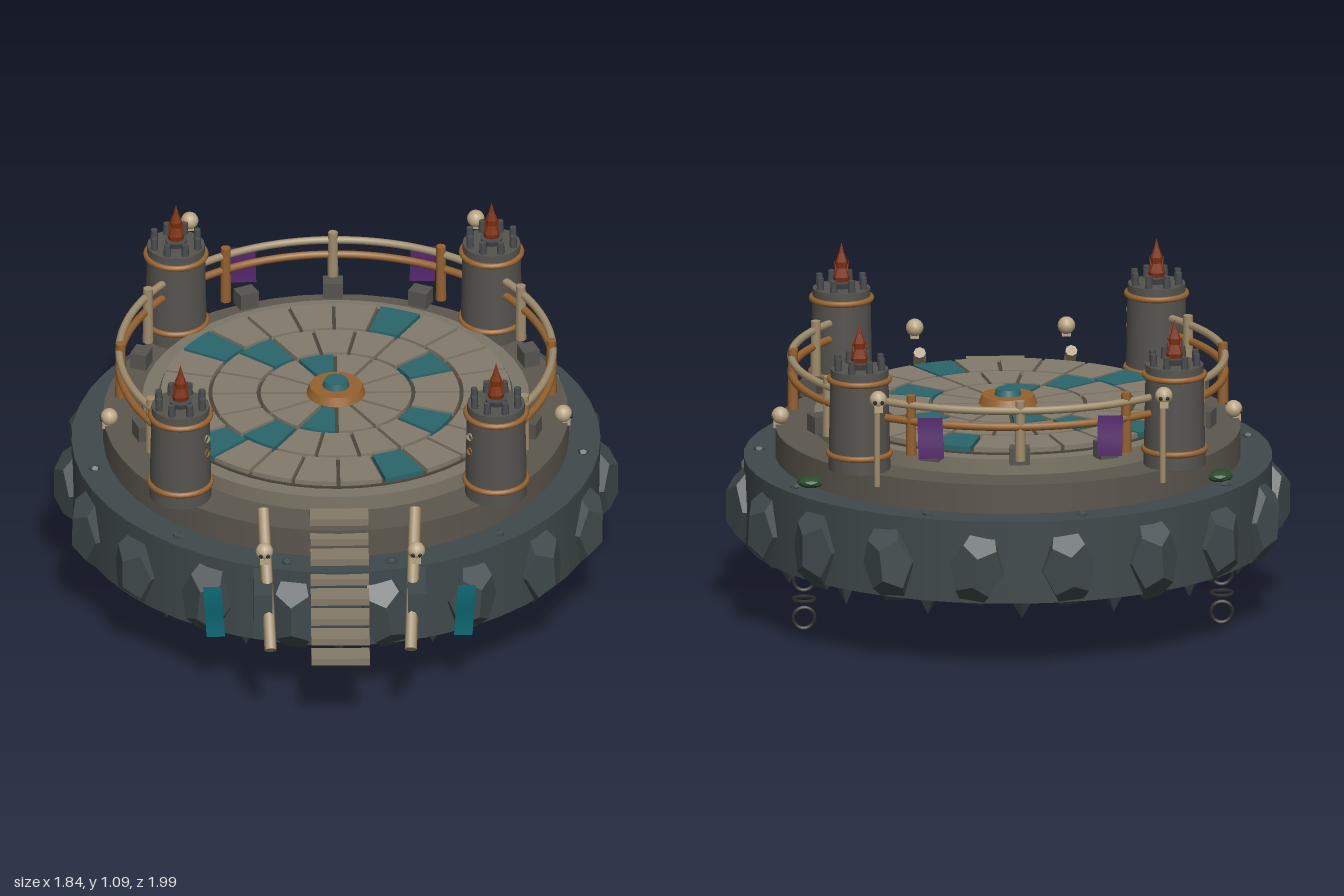
import * as THREE from 'three';

const CZ = -0.0875; // z of the arena's axis
const COLORS = {
  slate: 0x3f494c, stone: 0x5c574e, pale: 0x7d7568, gap: 0x4a453d, tile: 0x837a6b, teal: 0x2a666c,
  tower: 0x55534e, stud: 0x4a4c4d, bronze: 0x96622f, bone: 0xb9a684, rail: 0xa08d6c,
  flame: 0x7d3010, purple: 0x56286e, banner: 0x0c6670, iron: 0x2a2b2c, moss: 0x2b4a2b, wood: 0x857a68,
};
const mats = {};
function mat(key, flat = false, double = false) {
  const id = key + flat + double;
  mats[id] ??= new THREE.MeshStandardMaterial({
    color: COLORS[key], flatShading: flat, side: double ? THREE.DoubleSide : THREE.FrontSide,
  });
  return mats[id];
}

export function createModel() {
  const root = new THREE.Group();
  root.name = 'arena';

  function add(name, geo, material, x = 0, y = 0, z = 0, parent = root) {
    const m = new THREE.Mesh(geo, material);
    m.name = name;
    m.position.set(x, y, z);
    parent.add(m);
    return m;
  }
  // Angle in degrees, measured from the back (-z) towards +x
  const polar = (deg, r) => {
    const a = THREE.MathUtils.degToRad(deg);
    return [Math.sin(a) * r, CZ - Math.cos(a) * r];
  };
  function addAround(name, geo, material, deg, r, y) {
    const [x, z] = polar(deg, r);
    const m = add(name, geo, material, x, y, z);
    m.rotation.y = -THREE.MathUtils.degToRad(deg);
    return m;
  }
  function rod(name, a, b, radius, material, sides = 8) {
    const p = new THREE.Vector3(...a), q = new THREE.Vector3(...b);
    const m = add(name, new THREE.CylinderGeometry(radius, radius, p.distanceTo(q), sides), material);
    m.position.copy(p).lerp(q, 0.5);
    m.quaternion.setFromUnitVectors(new THREE.Vector3(0, 1, 0), q.sub(p).normalize());
    return m;
  }
  let seed = 7;
  const rand = () => (seed = (seed * 16807) % 2147483647) / 2147483647;

  // Stepped round platform
  const tier = (name, r, y0, y1, key) =>
    add(name, new THREE.CylinderGeometry(r, r, y1 - y0, 48), mat(key), 0, (y0 + y1) / 2, CZ);
  tier('rockBase', 0.86, 0.235, 0.51, 'slate');
  tier('middleTier', 0.757, 0.5, 0.607, 'stone');
  tier('upperTier', 0.63, 0.6, 0.66, 'pale');
  tier('floorBed', 0.578, 0.65, 0.666, 'gap');

  // Boulders round the rim and spikes under it
  for (let i = 0; i < 18; i++) {
    const rock = addAround('rimBoulder', new THREE.DodecahedronGeometry(1, 0), mat('slate', true), 10 + i * 20, 0.84, 0.35);
    rock.scale.set(0.095, 0.135 + rand() * 0.015, 0.083);
    rock.rotation.z = (rand() - 0.5) * 0.4;
  }
  for (let i = 0; i < 16; i++) {
    const spike = addAround('underSpike', new THREE.ConeGeometry(0.055, 0.08 + rand() * 0.03, 5), mat('slate', true), i * 22.5, 0.79, 0.215);
    spike.rotation.x = Math.PI;
  }

  // Three rings of wedge tiles, every fifth one teal
  function wedge(r0, r1, angle) {
    const g = 0.006; // half gap
    const s = new THREE.Shape();
    s.absarc(0, 0, r1, g / r1, angle - g / r1, false);
    s.absarc(0, 0, r0, angle - g / r0, g / r0, true);
    return new THREE.ExtrudeGeometry(s, { depth: 0.025, bevelEnabled: false, curveSegments: 2 }).rotateX(Math.PI / 2);
  }
  for (const [r0, r1, n, teal] of [[0.09, 0.245, 12, 3], [0.258, 0.402, 18, 1], [0.415, 0.57, 24, 4]]) {
    const step = (Math.PI * 2) / n, geo = wedge(r0, r1, step);
    for (let i = 0; i < n; i++) {
      add('floorTile', geo, mat(i % 5 === teal ? 'teal' : 'tile', true), 0, 0.682, CZ).rotation.y = -i * step;
    }
  }

  // Centre medallion
  add('medallion', new THREE.CylinderGeometry(0.085, 0.096, 0.028, 24), mat('bronze'), 0, 0.697, CZ);
  add('medallionGem', new THREE.CylinderGeometry(0.038, 0.045, 0.022, 16), mat('teal'), 0, 0.72, CZ);

  // Curb stones
  for (const deg of [0, 25, -25, 70, -70, 110, -110]) {
    addAround('curbStone', new THREE.BoxGeometry(0.065, 0.055, 0.055), mat('tower', true), deg, 0.67, 0.685);
  }

  // Corner towers with bands, studs and a flame
  const flameProfile = [[0, 0], [0.02, 0.005], [0.028, 0.035], [0.017, 0.065], [0.02, 0.085], [0.009, 0.115], [0, 0.15]]
    .map(([x, y]) => new THREE.Vector2(x, y));
  for (const sx of [-1, 1]) for (const sz of [-1, 1]) {
    const t = new THREE.Group();
    t.name = 'tower';
    t.position.set(sx * 0.513, 0, CZ + sz * 0.513);
    root.add(t);
    add('towerBody', new THREE.CylinderGeometry(0.094, 0.101, 0.335, 20), mat('tower'), 0, 0.775, 0, t);
    for (const [y, r] of [[0.66, 0.1], [0.908, 0.097]]) {
      add('towerBand', new THREE.TorusGeometry(r, 0.01, 8, 28).rotateX(Math.PI / 2), mat('bronze'), 0, y, 0, t);
    }
    for (let i = 0; i < 8; i++) {
      const a = (i + 0.5) * Math.PI / 4;
      add('towerStud', new THREE.CylinderGeometry(0.011, 0.013, 0.05, 7), mat('stud'),
        Math.cos(a) * 0.076, 0.957, Math.sin(a) * 0.076, t);
    }
    add('fireBowl', new THREE.CylinderGeometry(0.038, 0.03, 0.025, 10), mat('stud'), 0, 0.95, 0, t);
    const flame = add('flame', new THREE.LatheGeometry(flameProfile, 8), mat('flame', true, true), 0, 0.943, 0, t);
    flame.scale.z = 0.7;
    for (const s of [-1, 1]) {
      const lick = add('flameLick', new THREE.ConeGeometry(0.011, 0.075, 5), mat('flame', true), s * 0.017, 0.998, 0, t);
      lick.rotation.z = s * -0.2;
    }
  }

  // Curved railing, open towards the stairs
  const arc = (r, y) => new THREE.CatmullRomCurve3(Array.from({ length: 41 }, (_, i) => {
    const [x, z] = polar(-143 + i * 286 / 40, r);
    return new THREE.Vector3(x, y, z);
  }));
  add('upperRail', new THREE.TubeGeometry(arc(0.705, 0.842), 96, 0.013, 8), mat('rail', false, true));
  add('lowerRail', new THREE.TubeGeometry(arc(0.705, 0.788), 96, 0.013, 8), mat('bronze', false, true));
  for (let i = -4; i <= 4; i++) {
    addAround('railPost', new THREE.CylinderGeometry(0.016, 0.018, 0.2, 8), mat(i % 2 ? 'bronze' : 'rail'), i * 30, 0.7, 0.774);
  }

  // Skull: cranium, jaw and eye sockets, facing +z
  function skull(x, y, z, turn = 0) {
    const g = new THREE.Group();
    g.name = 'skull';
    g.position.set(x, y, z);
    g.rotation.y = turn;
    root.add(g);
    add('cranium', new THREE.SphereGeometry(0.029, 12, 8), mat('bone'), 0, 0.004, 0, g);
    add('jaw', new THREE.BoxGeometry(0.028, 0.022, 0.026), mat('bone'), 0, -0.023, 0.01, g);
    for (const s of [-1, 1]) add('eyeSocket', new THREE.SphereGeometry(0.007, 6, 5), mat('iron'), s * 0.011, 0, 0.025, g);
  }

  // Stairs
  for (let i = 0; i < 8; i++) {
    add('stairTread', new THREE.BoxGeometry(0.19, 0.025, 0.07), mat('wood', true), 0, 0.63 - i * 0.0465, 0.62 + i * 0.0487);
  }

  // Banner: thin cloth with a gentle wave
  function cloth(w, h, lean) {
    const geo = new THREE.PlaneGeometry(w, h, 3, 6), p = geo.attributes.position;
    for (let i = 0; i < p.count; i++) {
      const y = p.getY(i);
      p.setX(i, p.getX(i) + lean * y);
      p.setZ(i, Math.sin(y * 30) * 0.004);
    }
    geo.computeVertexNormals();
    return geo;
  }

  // Mirrored parts
  for (const s of [-1, 1]) {
    rod('stairRail', [s * 0.247, 0.665, 0.625], [s * 0.228, 0.345, 0.985], 0.02, mat('rail'));
    add('stairBlock', new THREE.BoxGeometry(0.06, 0.165, 0.175), mat('slate', true), s * 0.25, 0.423, 0.818);
    skull(s * 0.247, 0.67, 0.91);
    skull(s * 0.738, 0.63, -0.025, s * Math.PI / 2);
    skull(s * 0.465, 0.893, -0.83, Math.PI);
    rod('skullPole', [s * 0.465, 0.59, -0.772], [s * 0.465, 0.87, -0.772], 0.01, mat('rail'));

    add('frontBanner', cloth(0.06, 0.19, s * 0.06), mat('banner', false, true), s * 0.408, 0.335, 0.72);
    add('backBanner', cloth(0.082, 0.135, s * 0.03), mat('purple', false, true), s * 0.292, 0.753, -0.787);

    const moss = add('mossPatch', new THREE.IcosahedronGeometry(0.045, 1), mat('moss', true), s * 0.665, 0.532, -0.48);
    moss.scale.y = 0.45;

    // Hanging chain links
    [0.17, 0.105, 0.042].forEach((y, i) => {
      const link = add('chainLink', new THREE.TorusGeometry(0.035, 0.007, 6, 18), mat('iron'), s * 0.68, y, -0.363);
      if (i === 1) link.rotation.x = Math.PI / 2;
    });
  }

  // Loose pebbles on the ledge
  for (const deg of [-14, 22, 62, -58, 97, -103, 140, -140, 168, -168]) {
    const pebble = addAround('pebble', new THREE.DodecahedronGeometry(0.02, 0), mat('slate', true), deg, 0.81, 0.513);
    pebble.scale.y = 0.6;
  }
  return root;
}
